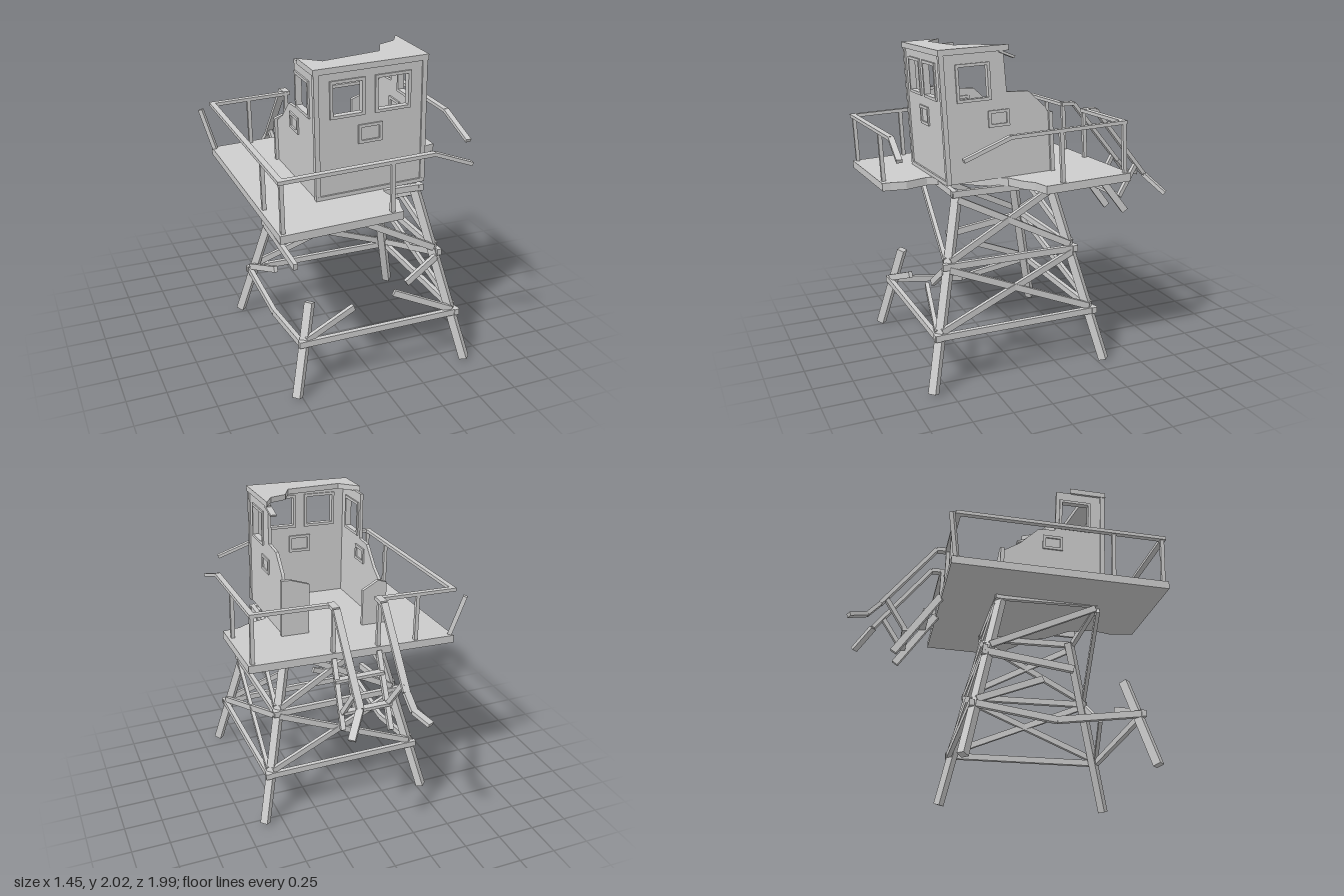
import * as THREE from 'three';

const mat = new THREE.MeshStandardMaterial({ color: 0xcccccc, flatShading: true });
const V = (x, y, z) => new THREE.Vector3(x, y, z);

function mesh(parent, name, geo) {
  const m = new THREE.Mesh(geo, mat);
  m.name = name;
  parent.add(m);
  return m;
}

// Square timber from a to b
function bar(parent, name, a, b, w = 0.04, h = 0.03) {
  const m = new THREE.Mesh(new THREE.BoxGeometry(w, h, a.distanceTo(b)), mat);
  m.name = name;
  m.position.copy(a).lerp(b, 0.5);
  m.lookAt(b);
  parent.add(m);
}

// Chain of timbers through several points
function path(parent, name, pts, w, h) {
  for (let i = 1; i < pts.length; i++) bar(parent, name, pts[i - 1], pts[i], w, h);
}

const outline = (P, pts) => {
  const s = new P();
  pts.forEach(([x, y], i) => (i ? s.lineTo(x, y) : s.moveTo(x, y)));
  s.closePath();
  return s;
};
const rect = ([x0, y0, x1, y1], g = 0) =>
  [[x0 - g, y0 - g], [x1 + g, y0 - g], [x1 + g, y1 + g], [x0 - g, y1 + g]];

// Flat board with optional rectangular openings
function board(pts, holes, depth) {
  const s = outline(THREE.Shape, pts);
  holes.forEach(h => s.holes.push(outline(THREE.Path, rect(h))));
  return new THREE.ExtrudeGeometry(s, { depth, bevelEnabled: false });
}

// Wall drawn in its own plane: framed windows and one framed hatch
function wall(parent, name, pts, windows, hatch) {
  const g = new THREE.Group();
  g.name = name;
  mesh(g, name + 'Panel', board(pts, windows, 0.02));
  [...windows, hatch].forEach(r => {
    mesh(g, 'openingFrame', board(rect(r, 0.018), [r], 0.04)).position.z = -0.01;
  });
  parent.add(g);
  return g;
}

function buildTower(root) {
  const tower = new THREE.Group();
  tower.name = 'tower';
  root.add(tower);

  // Point on a leg (or pushed outward by o) at height y
  const P = (sx, sz, y, ox = 0, oz = 0) => {
    const r = 0.575 - 0.2366 * y;
    return V(0.045 + sx * (r + ox), y, 0.28 + sz * (r + oz));
  };

  // Legs, one snapped off
  for (const sx of [-1, 1]) for (const sz of [-1, 1]) {
    const broken = sx < 0 && sz > 0;
    bar(tower, broken ? 'brokenLeg' : 'leg', P(sx, sz, 0), P(sx, sz, broken ? 0.56 : 1.15), 0.05, 0.05);
  }

  const levels = { low: 0.33, mid: 0.73, top: 1.145 };
  // Corner points of each face: s = -1 or 1 along the face
  const faces = {
    back: (s, y, e = 0) => P(s, -1, y, e, 0.025),
    front: (s, y, e = 0) => P(s, 1, y, e, 0.025),
    left: (s, y, e = 0) => P(1, s, y, 0.025, e),
    right: (s, y, e = 0) => P(-1, s, y, 0.025, e),
  };

  // Intact faces: girts and crossed braces
  for (const f of [faces.back, faces.left]) {
    for (const y of Object.values(levels)) bar(tower, 'girt', f(-1, y, 0.045), f(1, y, 0.045), 0.03, 0.04);
    for (const s of [-1, 1]) {
      bar(tower, 'upperBrace', f(s, 1.11), f(-s, 0.76), 0.025, 0.04);
      bar(tower, 'lowerBrace', f(s, 0.71), f(-s, 0.36), 0.025, 0.04);
    }
  }

  // Damaged front face
  const { front, right } = faces;
  for (const y of [levels.low, levels.top]) bar(tower, 'girt', front(-1, y, 0.045), front(1, y, 0.045), 0.03, 0.04);
  bar(tower, 'upperBrace', front(-1, 1.11), front(1, 0.76), 0.025, 0.04);
  bar(tower, 'brokenBrace', front(1, 0.35), V(0.16, 0.51, 0.73), 0.025, 0.04);
  bar(tower, 'brokenBrace', front(1, 0.70), V(0.25, 0.555, 0.72), 0.025, 0.04);
  bar(tower, 'brokenBrace', front(-1, 0.35), V(-0.12, 0.48, 0.75), 0.025, 0.04);

  // Damaged right face with a sagging lower girt
  bar(tower, 'girt', right(-1, levels.top, 0.045), right(1, levels.top, 0.045), 0.03, 0.04);
  path(tower, 'saggingGirt', [right(-1, 0.33), V(-0.47, 0.26, 0.27), right(1, 0.33, 0.03)], 0.03, 0.04);
  bar(tower, 'brokenGirt', right(-1, 0.71, 0.04), V(-0.37, 0.635, 0.41), 0.03, 0.045);
  bar(tower, 'upperBrace', right(1, 1.11), right(-1, 0.76), 0.025, 0.04);
  bar(tower, 'brokenBrace', right(-1, 0.36), V(-0.43, 0.53, 0.2), 0.025, 0.04);
}

function buildCabin(deck) {
  const cabin = new THREE.Group();
  cabin.name = 'cabin';
  deck.add(cabin);

  // Front wall
  wall(cabin, 'frontWall', rect([-0.34, 0, 0.345, 0.77]),
    [[-0.235, 0.51, -0.055, 0.7], [0.045, 0.51, 0.235, 0.7]], [-0.06, 0.335, 0.055, 0.415]).position.z = 0.345;

  // Side walls, broken toward the back
  const leftWall = wall(cabin, 'leftWall',
    [[0.36, 0], [0.36, 0.77], [-0.03, 0.77], [-0.04, 0.52], [-0.18, 0.51], [-0.29, 0.4], [-0.31, 0.36], [-0.31, 0]],
    [[0.08, 0.5, 0.26, 0.69]], [-0.03, 0.335, 0.07, 0.4]);
  leftWall.position.x = 0.345;
  const rightWall = wall(cabin, 'rightWall',
    [[0.36, 0], [0.36, 0.77], [0.04, 0.77], [0.035, 0.47], [-0.08, 0.46], [-0.2, 0.34], [-0.31, 0.27], [-0.31, 0]],
    [[0.08, 0.5, 0.26, 0.69]], [-0.03, 0.335, 0.07, 0.4]);
  rightWall.position.x = -0.32;
  for (const w of [leftWall, rightWall]) w.rotation.y = -Math.PI / 2;

  // Remains of the back wall beside the doorway
  mesh(cabin, 'backWallLeft', board([[0.175, 0], [0.36, 0], [0.36, 0.37], [0.3, 0.37], [0.175, 0.33]], [], 0.025)).position.z = -0.33;
  mesh(cabin, 'backWallRight', board([[-0.36, 0], [-0.195, 0], [-0.195, 0.24], [-0.3, 0.3], [-0.36, 0.28]], [], 0.025)).position.z = -0.33;

  // Corner and sill trim
  for (const x of [-0.335, 0.34]) bar(cabin, 'cornerTrim', V(x, 0, 0.36), V(x, 0.77, 0.36), 0.03, 0.03);
  bar(cabin, 'sillTrim', V(-0.34, 0.012, 0.366), V(0.345, 0.012, 0.366), 0.02, 0.024);

  // Roof with a torn rear edge
  const roof = mesh(cabin, 'roof', board(
    [[-0.355, 0.38], [0.36, 0.38], [0.36, -0.06], [0.3, 0.04], [0.19, 0.08], [0.13, 0.2], [-0.24, 0.24], [-0.355, 0.13]], [], 0.035));
  roof.rotation.x = Math.PI / 2;
  roof.position.y = 0.8;
  bar(cabin, 'roofSplinter', V(0.34, 0.765, 0.0), V(0.33, 0.72, -0.1), 0.04, 0.015);
}

function buildDeck(root) {
  // Everything above the tower leans together
  const deck = new THREE.Group();
  deck.name = 'deck';
  deck.position.set(0.025, 1.2, 0.28);
  deck.rotation.set(0.035, 0, 0.035);
  root.add(deck);

  // Platform with its front corner torn away
  const floor = mesh(deck, 'platform', board(
    [[-0.685, 0.69], [0.06, 0.69], [0.07, 0.64], [0.1, 0.55], [0.07, 0.41], [0.13, 0.25], [0.29, 0.12],
      [0.37, -0.01], [0.49, -0.05], [0.57, -0.1], [0.685, -0.12], [0.685, -0.68], [-0.685, -0.68]], [], 0.05));
  floor.rotation.x = Math.PI / 2;

  // Handrails
  const h = 0.31;
  path(deck, 'frontRail', [V(-0.68, h, 0.665), V(0.26, h, 0.665), V(0.49, 0.22, 0.69)], 0.035, 0.022);
  path(deck, 'leftRail', [V(0.655, h, -0.67), V(0.655, h, 0.08), V(0.655, 0.21, 0.37)], 0.035, 0.022);
  path(deck, 'rightRail', [V(-0.665, h, -0.67), V(-0.665, h, 0.68)], 0.035, 0.022);
  path(deck, 'backRail', [V(-0.68, h, -0.655), V(-0.15, h, -0.655)], 0.035, 0.022);
  path(deck, 'backRail', [V(0.13, h, -0.655), V(0.67, h, -0.655)], 0.035, 0.022);

  // Posts
  const posts = [[-0.66, 0.66], [0.0, 0.665], [-0.66, 0.34], [0.655, -0.655], [0.655, -0.24],
    [0.14, -0.655], [-0.16, -0.655], [-0.42, -0.655]];
  for (const [x, z] of posts) bar(deck, 'railPost', V(x, 0, z), V(x, h, z), 0.024, 0.024);
  bar(deck, 'leaningPost', V(-0.67, 0, -0.65), V(-0.735, 0.27, -0.7), 0.028, 0.028);

  buildCabin(deck);
}

function buildStairs(root) {
  const stairs = new THREE.Group();
  stairs.name = 'brokenStairs';
  root.add(stairs);

  // Stringers and struts up to the handrails
  bar(stairs, 'stringer', V(-0.13, 1.19, -0.4), V(-0.09, 0.79, -0.69), 0.03, 0.045);
  bar(stairs, 'stringer', V(0.17, 1.19, -0.4), V(0.215, 0.84, -0.66), 0.03, 0.045);
  bar(stairs, 'strut', V(-0.1, 0.94, -0.62), V(-0.135, 1.15, -0.76), 0.025, 0.03);
  bar(stairs, 'strut', V(0.2, 0.94, -0.62), V(0.175, 1.15, -0.76), 0.025, 0.03);

  // Handrails bent outward at the foot
  path(stairs, 'stairRail', [V(-0.14, 1.53, -0.35), V(-0.14, 1.53, -0.44), V(-0.135, 1.1, -0.79), V(-0.15, 1.01, -0.87), V(-0.205, 0.97, -0.985)], 0.045, 0.025);
  path(stairs, 'stairRail', [V(0.17, 1.54, -0.35), V(0.17, 1.54, -0.44), V(0.175, 1.07, -0.82), V(0.275, 0.945, -0.935)], 0.045, 0.025);

  // Remaining treads
  for (const [y, z] of [[1.09, -0.49], [0.94, -0.62]]) bar(stairs, 'tread', V(-0.12, y, z), V(0.2, y, z), 0.045, 0.02);
}

export function createModel() {
  const root = new THREE.Group();
  root.name = 'ruinedWatchtower';
  buildTower(root);
  buildDeck(root);
  buildStairs(root);
  return root;
}
